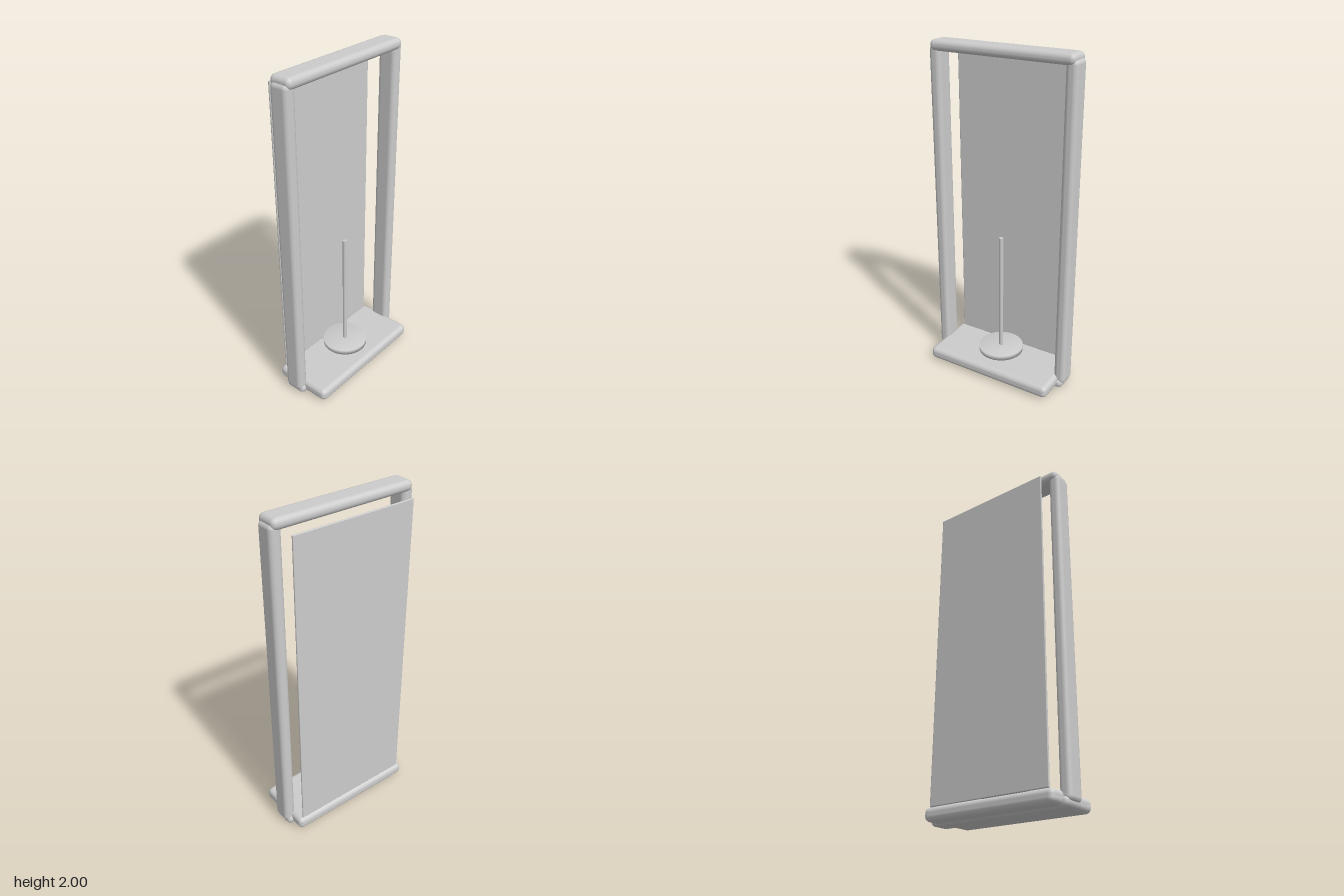
import * as THREE from 'three';
import { RoundedBoxGeometry } from 'three/addons/geometries/RoundedBoxGeometry.js';

export function createModel() {
  const model = new THREE.Group();
  model.name = 'framedStand';
  const grey = new THREE.MeshStandardMaterial({ color: 0xcccccc });
  grey.name = 'plain grey';

  const add = (name, geometry, x, y, z) => {
    const mesh = new THREE.Mesh(geometry, grey);
    mesh.name = name;
    mesh.position.set(x, y, z);
    model.add(mesh);
  };

  const frameZ = -0.034;

  // Upright frame: two posts between a top and a bottom rail
  for (const [side, name] of [[1, 'leftPost'], [-1, 'rightPost']]) {
    add(name, new RoundedBoxGeometry(0.072, 1.94, 0.117, 2, 0.028), side * 0.421, 1.0, frameZ);
  }
  for (const [y, name] of [[1.968, 'topRail'], [0.032, 'bottomRail']]) {
    add(name, new RoundedBoxGeometry(0.89, 0.064, 0.138, 2, 0.03), 0, y, frameZ);
  }

  // Base slab
  add('base', new RoundedBoxGeometry(0.83, 0.077, 0.367, 3, 0.03), 0, 0.049, -0.001);

  // Thin back panel standing behind the frame
  add('backPanel', new RoundedBoxGeometry(0.768, 1.845, 0.012, 2, 0.005), 0, 1.01, -0.164);

  // Softly shaded disc and the slim pole on it
  const discProfile = [[0, -0.015], [0.137, -0.015], [0.137, 0.015], [0, 0.015]]
    .map(([r, y]) => new THREE.Vector2(r, y));
  add('disc', new THREE.LatheGeometry(discProfile, 32), 0, 0.137, -0.006);
  add('pole', new THREE.CylinderGeometry(0.013, 0.013, 0.745, 16), 0, 0.5175, -0.006);

  return model;
}
